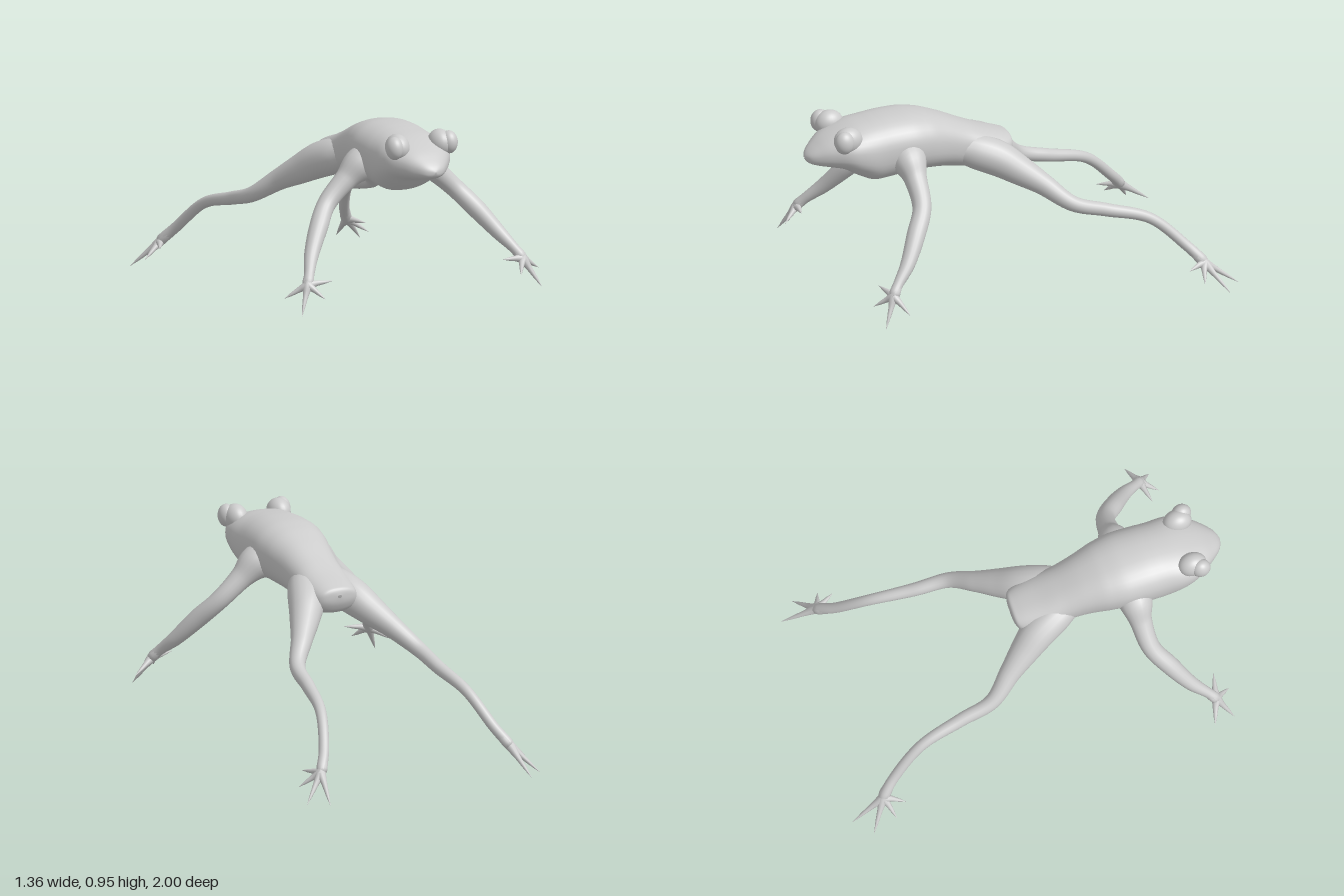
import * as THREE from 'three';

const material = new THREE.MeshStandardMaterial({ color: 0xcccccc, side: THREE.DoubleSide });

// Skin closed rings of points into one smooth surface
function loft(name, rings) {
  const n = rings[0].length, pos = [], idx = [];
  rings.forEach(r => r.forEach(p => pos.push(p.x, p.y, p.z)));
  for (let i = 0; i < rings.length - 1; i++) {
    for (let j = 0; j < n; j++) {
      const a = i * n + j, b = i * n + (j + 1) % n;
      idx.push(a, b, b + n, a, b + n, a + n);
    }
  }
  const g = new THREE.BufferGeometry();
  g.setAttribute('position', new THREE.Float32BufferAttribute(pos, 3));
  g.setIndex(idx);
  g.computeVertexNormals();
  const mesh = new THREE.Mesh(g, material);
  mesh.name = name;
  return mesh;
}

// Tapered round limb through [x, y, z, radius] points, s mirrors x
function limb(name, pts, s, steps = 40, sides = 18) {
  const path = new THREE.CatmullRomCurve3(pts.map(p => new THREE.Vector3(p[0] * s, p[1], p[2])));
  const radius = new THREE.SplineCurve(pts.map((p, i) => new THREE.Vector2(i, p[3])));
  const { normals, binormals } = path.computeFrenetFrames(steps);
  const rings = [];
  for (let i = 0; i <= steps; i++) {
    const c = path.getPointAt(i / steps);
    const r = Math.max(0.001, radius.getPoint(path.getUtoTmapping(i / steps)).y);
    rings.push(Array.from({ length: sides }, (_, j) => {
      const a = j / sides * Math.PI * 2;
      return c.clone().addScaledVector(normals[i], r * Math.cos(a)).addScaledVector(binormals[i], r * Math.sin(a));
    }));
  }
  return loft(name, rings);
}

function ellipsoid(name, center, radii) {
  const m = new THREE.Mesh(new THREE.SphereGeometry(1, 28, 20), material);
  m.position.set(...center);
  m.scale.set(...radii);
  m.name = name;
  return m;
}

// Slender pointed digits fanning out of a palm
function digits(name, wrist, palm, tips, s) {
  const g = new THREE.Group();
  g.name = name;
  tips.forEach(t => {
    const along = (k, r) => [...palm.map((v, i) => v + (t[i] - v) * k), r];
    g.add(limb('digit', [[...wrist, 0.022], along(0, 0.024), along(0.35, 0.014), along(0.7, 0.008), along(1, 0.001)], s, 18, 10));
  });
  return g;
}

// Body stations: z, half width, top y, bottom y
const stations = [
  [-0.045, 0.01, 0.725, 0.71], [-0.035, 0.08, 0.755, 0.67], [0, 0.11, 0.77, 0.63], [0.1, 0.13, 0.805, 0.615],
  [0.2, 0.13, 0.85, 0.625], [0.3, 0.142, 0.898, 0.645], [0.4, 0.165, 0.935, 0.657], [0.5, 0.18, 0.952, 0.66],
  [0.6, 0.18, 0.953, 0.65], [0.67, 0.178, 0.948, 0.645], [0.76, 0.178, 0.935, 0.685], [0.83, 0.165, 0.915, 0.728],
  [0.9, 0.122, 0.885, 0.745], [0.95, 0.082, 0.852, 0.755], [0.985, 0.045, 0.822, 0.768], [1.0, 0.003, 0.797, 0.79],
];

function makeBody() {
  const size = new THREE.CatmullRomCurve3(stations.map(p => new THREE.Vector3(p[1], p[2], p[3])));
  const length = new THREE.SplineCurve(stations.map((p, i) => new THREE.Vector2(i, p[0])));
  const rings = [], steps = 75, sides = 40;
  const bulge = v => Math.sign(v) * Math.abs(v) ** 0.85;
  for (let i = 0; i <= steps; i++) {
    const { x: w, y: top, z: bottom } = size.getPoint(i / steps);
    const z = length.getPoint(i / steps).y;
    rings.push(Array.from({ length: sides }, (_, j) => {
      const a = j / sides * Math.PI * 2;
      return new THREE.Vector3(w * bulge(Math.cos(a)),
        (top + bottom) / 2 + (top - bottom) / 2 * bulge(Math.sin(a)), z);
    }));
  }
  return loft('body', rings);
}

const arm = [[0.08, 0.78, 0.53, 0.09], [0.16, 0.75, 0.53, 0.082], [0.23, 0.692, 0.53, 0.055], [0.34, 0.59, 0.545, 0.045],
  [0.42, 0.495, 0.61, 0.045], [0.5, 0.385, 0.69, 0.035], [0.545, 0.32, 0.755, 0.025], [0.57, 0.28, 0.79, 0.024], [0.58, 0.262, 0.805, 0.006]];
const leg = [[0.05, 0.735, 0.24, 0.07], [0.085, 0.708, 0.15, 0.085], [0.125, 0.672, 0.06, 0.085], [0.18, 0.615, -0.03, 0.07],
  [0.24, 0.555, -0.12, 0.052], [0.322, 0.465, -0.24, 0.037], [0.345, 0.415, -0.4, 0.032], [0.385, 0.35, -0.61, 0.026],
  [0.45, 0.205, -0.77, 0.025], [0.495, 0.135, -0.835, 0.024], [0.505, 0.115, -0.855, 0.006]];
const fingerTips = [[0.677, 0.21, 0.752], [0.64, 0.142, 0.86], [0.522, 0.215, 0.872], [0.455, 0.285, 0.817]];
const toeTips = [[0.53, 0.01, -1.0], [0.613, 0.005, -0.92], [0.595, 0.06, -0.8], [0.55, 0.12, -0.74]];

export function createModel() {
  const model = new THREE.Group();
  model.name = 'frog';
  model.add(makeBody());
  for (const s of [1, -1]) {
    const side = s > 0 ? 'left' : 'right';
    // Eye set into a raised socket
    model.add(ellipsoid(side + 'EyeSocket', [s * 0.113, 0.895, 0.825], [0.055, 0.064, 0.07]));
    model.add(ellipsoid(side + 'Eye', [s * 0.145, 0.9, 0.857], [0.041, 0.055, 0.047]));
    // Front and hind limbs
    model.add(limb(side + 'Arm', arm, s, 60));
    model.add(digits(side + 'Hand', [0.545, 0.32, 0.755], [0.572, 0.275, 0.79], fingerTips, s));
    model.add(limb(side + 'HindLeg', leg, s, 80));
    model.add(digits(side + 'Foot', [0.455, 0.195, -0.78], [0.497, 0.13, -0.835], toeTips, s));
  }
  return model;
}
